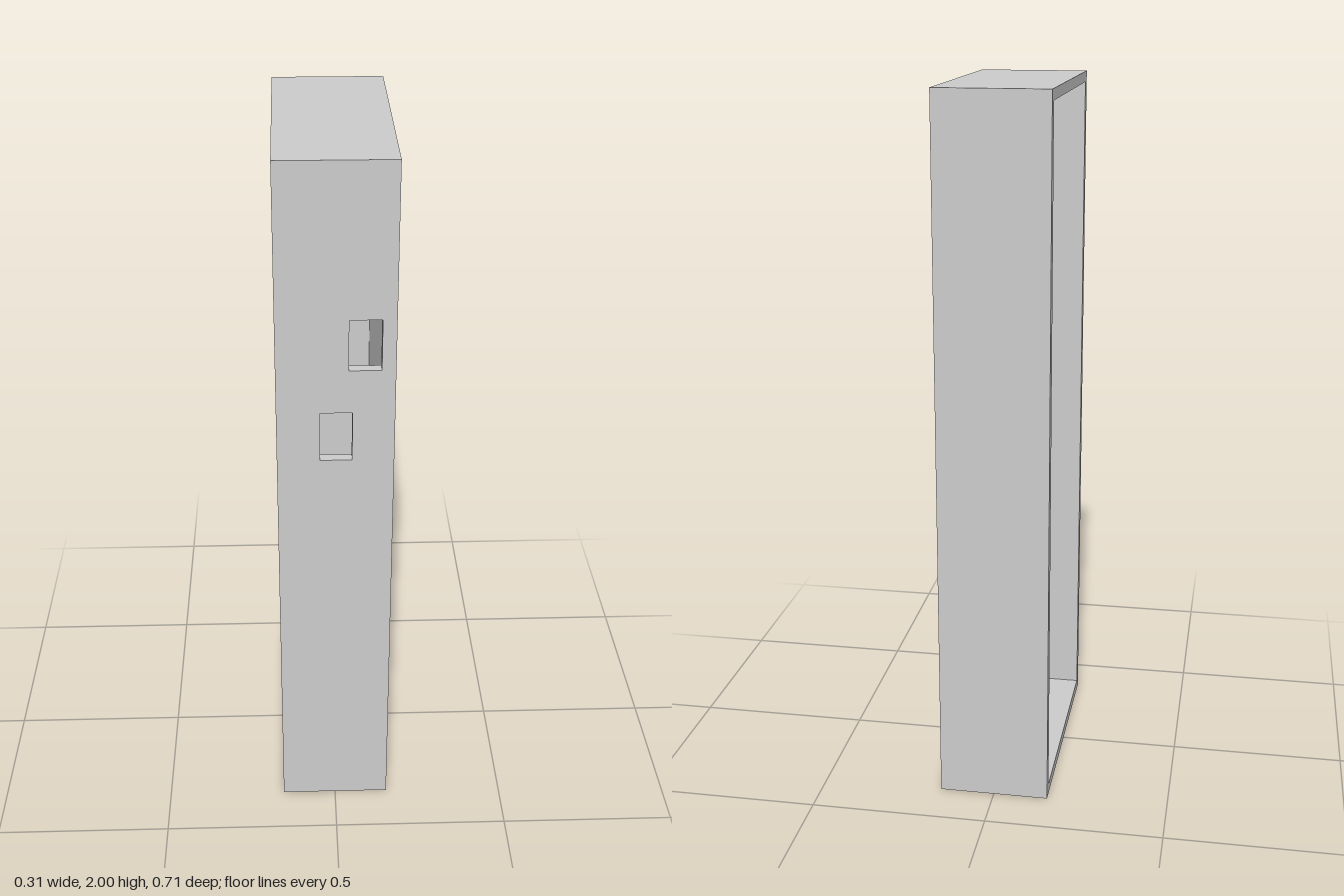
import * as THREE from 'three';
import { mergeGeometries, toCreasedNormals } from 'three/addons/utils/BufferGeometryUtils.js';

const W = 0.156, D = 0.356, H = 2, T = 0.03; // half width, half depth, height, wall thickness
const material = new THREE.MeshStandardMaterial({ color: 0xcccccc });

const trace = (path, x0, y0, x1, y1) =>
  path.moveTo(x0, y0).lineTo(x1, y0).lineTo(x1, y1).lineTo(x0, y1).closePath();

// Flat face from a rectangle [x0, y0, x1, y1] with holes, at depth z
function face(rect, holes, z, flip) {
  const shape = trace(new THREE.Shape(), ...rect);
  shape.holes.push(...holes);
  const geo = new THREE.ShapeGeometry(shape, 16);
  if (flip) geo.index.array.reverse();
  const flat = geo.toNonIndexed().translate(0, 0, z);
  flat.deleteAttribute('uv');
  flat.computeVertexNormals();
  return flat;
}

// Walls lining a counter-clockwise hole through the panel
function lining(hole) {
  const pts = hole.getPoints(16);
  const pos = [];
  pts.forEach((p, i) => {
    const q = pts[(i + 1) % pts.length];
    if (p.distanceTo(q) < 1e-6) return;
    pos.push(p.x, p.y, 0, q.x, q.y, 0, q.x, q.y, -T);
    pos.push(p.x, p.y, 0, q.x, q.y, -T, p.x, p.y, -T);
  });
  const geo = new THREE.BufferGeometry();
  geo.setAttribute('position', new THREE.Float32BufferAttribute(pos, 3));
  return toCreasedNormals(geo, 0.5);
}

// Mitred panel: outer face at z = 0, inner face at z = -T, lined holes
function panel(name, outer, inner, holes = []) {
  const geo = mergeGeometries([
    face(outer, holes, 0, false),
    face(inner, holes, -T, true),
    ...holes.map(lining),
  ]);
  const mesh = new THREE.Mesh(geo, material);
  mesh.name = name;
  return mesh;
}

export function createModel() {
  const group = new THREE.Group();
  group.name = 'enclosure';

  // Front wall with two rectangular windows
  const windows = [[0.034, 1.44, 0.119, 1.582], [-0.041, 1.175, 0.044, 1.317]]
    .map((r) => trace(new THREE.Path(), ...r));
  const front = panel('frontWall', [-W, 0, W, H], [-W, T, W - T, H - T], windows);
  front.position.z = D;

  // Back wall
  const back = panel('backWall', [-W, 0, W, H], [T - W, T, W, H - T]);
  back.rotation.y = Math.PI;
  back.position.z = -D;

  // Broad side wall with a rounded slot near the bottom
  const r = 0.053, c = 0.181, y = 0.159;
  const slot = new THREE.Path();
  slot.absarc(c, y, r, -Math.PI / 2, Math.PI / 2, false);
  slot.absarc(-c, y, r, Math.PI / 2, Math.PI * 1.5, false);
  const side = panel('sideWall', [-D, 0, D, H], [T - D, T, D - T, H - T], [slot]);
  side.rotation.y = Math.PI / 2;
  side.position.x = W;

  // Top and bottom walls
  const cap = [[-W, -D, W, D], [-W, T - D, W - T, D - T]];
  const top = panel('topWall', ...cap);
  top.rotation.x = -Math.PI / 2;
  top.position.y = H;
  const bottom = panel('bottomWall', ...cap);
  bottom.rotation.x = Math.PI / 2;

  // Rim around the open side
  const opening = trace(new THREE.Path(), T - D, T, D - T, H - T);
  const rim = new THREE.Mesh(face([-D, 0, D, H], [opening], 0, false), material);
  rim.name = 'openingRim';
  rim.rotation.y = -Math.PI / 2;
  rim.position.x = -W;

  group.add(front, back, side, top, bottom, rim);
  return group;
}
